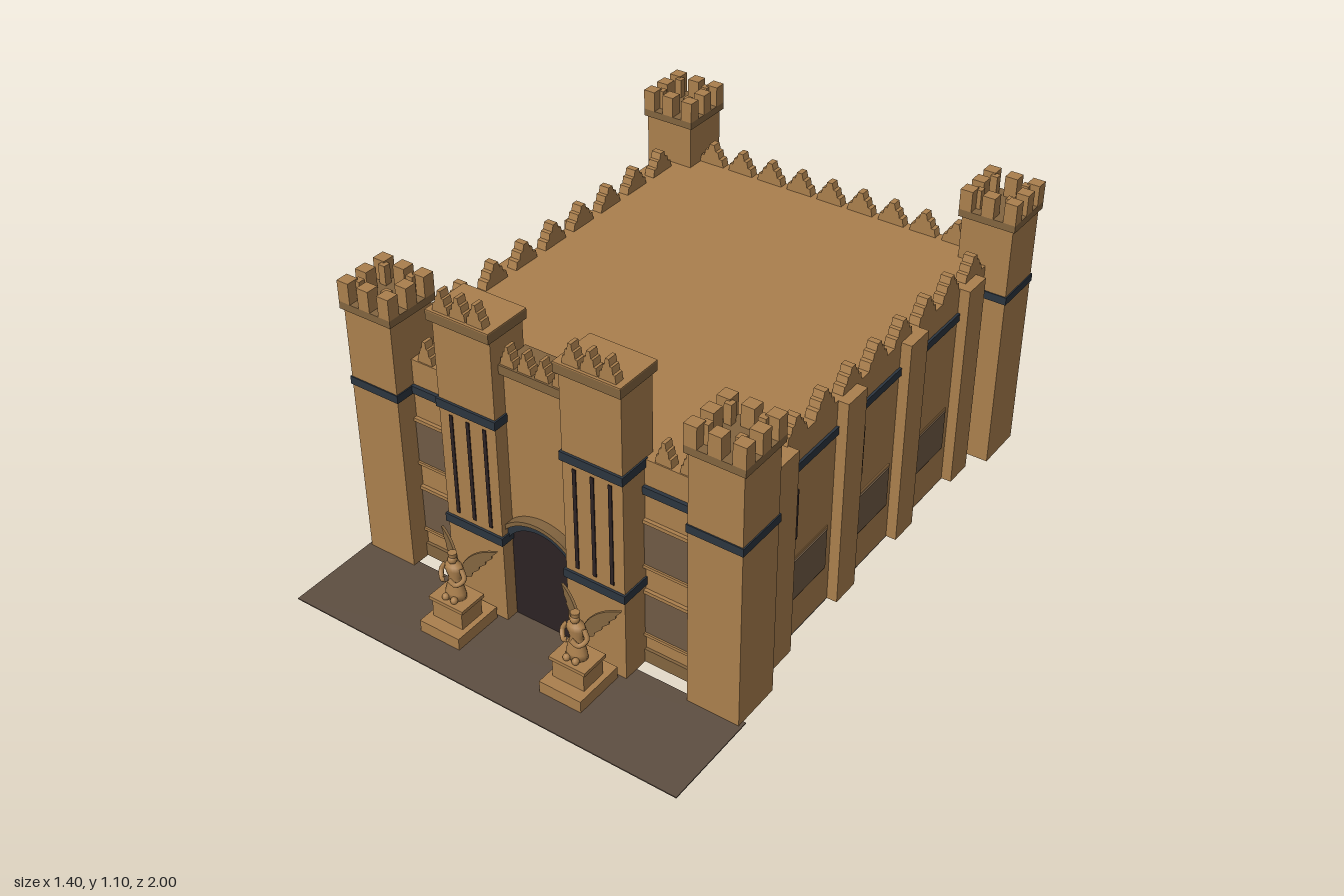
import * as THREE from 'three';

const mat = (name, color, side = THREE.FrontSide) => {
  const m = new THREE.MeshStandardMaterial({ color, side });
  m.name = name;
  return m;
};

export function createModel() {
  const root = new THREE.Group();
  const stone = mat('sandstone', 0xaa7f4d);
  const trim = mat('dark sandstone', 0x82643f);
  const navy = mat('navy band', 0x2c353f);
  const dark = mat('dark opening', 0x2c2223);
  const relief = mat('carved relief', 0x6f5a44);
  const paving = mat('paving', 0x5e4e41, THREE.DoubleSide);

  const add = (parent, name, geo, material) => {
    const m = new THREE.Mesh(geo, material);
    m.name = name;
    parent.add(m);
    return m;
  };
  // Box given by its limits on each axis
  const box = (parent, name, material, x0, x1, y0, y1, z0, z1) => {
    const m = add(parent, name, new THREE.BoxGeometry(x1 - x0, y1 - y0, z1 - z0), material);
    m.position.set((x0 + x1) / 2, (y0 + y1) / 2, (z0 + z1) / 2);
    return m;
  };
  const group = (name, parent = root) => {
    const g = new THREE.Group();
    g.name = name;
    parent.add(g);
    return g;
  };

  // Stepped, pointed battlement, centred on its thickness
  const battlement = (parent, x, y, z, w, h, turn = 0, t = 0.032) => {
    const half = [[0.5, 0], [0.44, 0.36], [0.32, 0.38], [0.27, 0.68], [0.16, 0.7], [0.1, 1]];
    const pts = [...half, ...half.map(([a, b]) => [-a, b]).reverse()];
    const shape = new THREE.Shape(pts.map(([a, b]) => new THREE.Vector2(a * w, b * h)));
    const geo = new THREE.ExtrudeGeometry(shape, { depth: t, bevelEnabled: false });
    geo.translate(0, 0, -t / 2);
    const m = add(parent, 'battlement', geo, stone);
    m.position.set(x, y, z);
    m.rotation.y = turn;
  };

  // Grounds
  box(root, 'forecourt', paving, -0.7, 0.7, 0, 0.004, 0.66, 1);
  box(root, 'hallFloor', paving, -0.61, 0.61, 0, 0.006, -0.91, 0.61);

  // Hall: hollow, with an arched opening in the back wall
  const hall = group('hall');
  box(hall, 'roof', stone, -0.61, 0.61, 0.7, 0.735, -0.91, 0.61);
  box(hall, 'frontWall', stone, -0.61, 0.61, 0.002, 0.7, 0.56, 0.61);
  for (const s of [-1, 1]) {
    const a = s * 0.57, b = s * 0.61;
    box(hall, 'sideWall', stone, Math.min(a, b), Math.max(a, b), 0.002, 0.7, -0.87, 0.56);
  }
  const back = new THREE.Shape();
  back.moveTo(-0.61, 0.002);
  back.lineTo(-0.15, 0.002);
  back.lineTo(-0.15, 0.22);
  back.lineTo(-0.135, 0.22);
  back.absarc(0, 0.22, 0.135, Math.PI, 0, true);
  back.lineTo(0.15, 0.22);
  back.lineTo(0.15, 0.002);
  back.lineTo(0.61, 0.002);
  back.lineTo(0.61, 0.7);
  back.lineTo(-0.61, 0.7);
  add(hall, 'backWall', new THREE.ExtrudeGeometry(back, { depth: 0.04, bevelEnabled: false, curveSegments: 20 }), stone)
    .position.z = -0.91;
  box(hall, 'backLintel', stone, -0.21, 0.21, 0.212, 0.23, -0.935, -0.89);

  // Battlements along the sides and back
  for (const s of [-1, 1])
    for (let i = 0; i < 9; i++) battlement(hall, s * 0.592, 0.735, 0.44 - i * 0.147, 0.105, 0.075, Math.PI / 2, 0.036);
  for (let i = -4; i <= 4; i++) battlement(hall, i * 0.117, 0.735, -0.893, 0.095, 0.075);

  // Long sides: pilasters, bands, slit windows and carved panels
  const sideZ = [0.39, 0.025, -0.335, -0.7];
  for (const s of [-1, 1]) {
    const side = group(s > 0 ? 'leftSide' : 'rightSide');
    const sbox = (name, m, a, b, y0, y1, z0, z1) =>
      box(side, name, m, Math.min(s * a, s * b), Math.max(s * a, s * b), y0, y1, z0, z1);
    sbox('sideBand', navy, 0.608, 0.618, 0.62, 0.648, -0.82, 0.52);
    sideZ.forEach((z, i) => {
      sbox('pilaster', stone, 0.6, 0.645, 0.002, 0.735, z - 0.052, z + 0.052);
      sbox('slitWindow', dark, 0.608, 0.614, 0.37, 0.548, z - 0.113, z - 0.089);
      if (i < 3) {
        sbox('panelFrame', stone, 0.608, 0.613, 0.142, 0.303, z - 0.287, z - 0.063);
        sbox('carvedPanel', relief, 0.608, 0.617, 0.15, 0.295, z - 0.28, z - 0.07);
      }
    });
  }

  // Corner towers with crowns
  const tower = (cx, cz) => {
    const t = group('cornerTower');
    t.position.set(cx, 0, cz);
    const sq = (name, m, r, y0, y1) => box(t, name, m, -r, r, y0, y1, -r, r);
    sq('towerShaft', stone, 0.088, 0.002, 0.885);
    sq('towerBand', navy, 0.092, 0.62, 0.647);
    sq('towerSlab', trim, 0.097, 0.885, 0.91);
    for (const i of [-1, 0, 1]) for (const j of [-1, 0, 1]) {
      if (!i && !j) continue;
      const x = i * 0.076, z = j * 0.076;
      box(t, 'merlon', stone, x - 0.021, x + 0.021, 0.91, 0.98, z - 0.021, z + 0.021);
      if (i && j) {
        const u = i * 0.053, v = j * 0.053;
        box(t, 'innerMerlon', stone, u - 0.012, u + 0.012, 0.91, 0.975, v - 0.012, v + 0.012);
      }
    }
  };
  for (const s of [-1, 1]) for (const z of [0.594, -0.903]) tower(s * 0.602, z);

  // Gatehouse: lower centre with arched door
  const gate = group('gatehouse');
  box(gate, 'gateCentre', stone, -0.12, 0.12, 0.002, 0.88, 0.57, 0.662);
  box(gate, 'gateSlab', trim, -0.12, 0.12, 0.88, 0.91, 0.56, 0.682);
  for (const x of [-0.09, -0.03, 0.03, 0.09]) battlement(gate, x, 0.91, 0.66, 0.048, 0.065);

  const arcY = 0.232, arcA = 1.02;
  const ring = (name, m, r0, r1, depth) => {
    const a0 = Math.PI / 2 - arcA, a1 = Math.PI / 2 + arcA;
    const sh = new THREE.Shape();
    sh.absarc(0, 0, r1, a0, a1, false);
    sh.absarc(0, 0, r0, a1, a0, true);
    add(gate, name, new THREE.ExtrudeGeometry(sh, { depth, bevelEnabled: false, curveSegments: 24 }), m)
      .position.set(0, arcY, 0.655);
  };
  ring('archBand', navy, 0.137, 0.16, 0.03);
  ring('archMoulding', trim, 0.16, 0.173, 0.04);
  const doorShape = new THREE.Shape();
  doorShape.moveTo(-0.118, 0.004);
  doorShape.lineTo(0.118, 0.004);
  doorShape.absarc(0, arcY, 0.14, Math.acos(0.118 / 0.14), Math.PI - Math.acos(0.118 / 0.14), false);
  add(gate, 'door', new THREE.ExtrudeGeometry(doorShape, { depth: 0.006, bevelEnabled: false, curveSegments: 24 }), dark)
    .position.z = 0.66;

  // Gate pylons, front walls and winged statues, mirrored
  const wingShape = new THREE.Shape();
  wingShape.moveTo(0.008, 0.1);
  wingShape.quadraticCurveTo(0.035, 0.165, 0.115, 0.168);
  for (const [x, y] of [[0.098, 0.15], [0.1, 0.143], [0.08, 0.128], [0.082, 0.12], [0.062, 0.106], [0.062, 0.097], [0.042, 0.082], [0.04, 0.07], [0.01, 0.06]])
    wingShape.lineTo(x, y);

  const statue = (parent, cx) => {
    const g = group('wingedStatue', parent);
    g.position.set(cx, 0, 0.81);
    box(g, 'statueBase', stone, -0.074, 0.074, 0.004, 0.045, -0.09, 0.085);
    box(g, 'pedestal', stone, -0.056, 0.056, 0.045, 0.108, -0.045, 0.045);
    box(g, 'pedestalCap', stone, -0.064, 0.064, 0.108, 0.12, -0.05, 0.05);
    const fig = group('figure', g);
    fig.position.y = 0.12;
    const profile = [[0, 0], [0.036, 0], [0.034, 0.02], [0.024, 0.055], [0.021, 0.075], [0.031, 0.105], [0.027, 0.12], [0.009, 0.128], [0, 0.13]];
    const robe = add(fig, 'robedBody', new THREE.LatheGeometry(profile.map(p => new THREE.Vector2(...p)), 16), stone);
    robe.scale.z = 0.75;
    const head = add(fig, 'head', new THREE.SphereGeometry(0.015, 12, 8), stone);
    head.position.set(0, 0.14, 0.004);
    const crown = add(fig, 'crown', new THREE.CylinderGeometry(0.014, 0.012, 0.016, 12), stone);
    crown.position.set(0, 0.156, 0.002);
    for (const s of [-1, 1]) {
      const path = new THREE.CatmullRomCurve3([
        [0.028, 0.113, 0], [0.043, 0.085, 0.008], [0.026, 0.068, 0.026], [0.004, 0.082, 0.03],
      ].map(([x, y, z]) => new THREE.Vector3(s * x, y, z)));
      add(fig, 'arm', new THREE.TubeGeometry(path, 12, 0.008, 8), stone);
      const foot = add(fig, 'foot', new THREE.SphereGeometry(0.012, 10, 6), stone);
      foot.position.set(s * 0.016, 0.006, 0.028);
      const wing = group('wing', fig);
      wing.position.z = -0.012;
      wing.rotation.set(-0.1, s > 0 ? 0.42 : Math.PI - 0.42, 0);
      const geo = new THREE.ExtrudeGeometry(wingShape, { depth: 0.008, bevelEnabled: false });
      geo.translate(0, 0, -0.004);
      add(wing, 'wingFeathers', geo, trim);
    }
  };

  for (const s of [-1, 1]) {
    const g = group(s > 0 ? 'leftFront' : 'rightFront');
    const mbox = (name, m, a, b, y0, y1, z0, z1) =>
      box(g, name, m, Math.min(s * a, s * b), Math.max(s * a, s * b), y0, y1, z0, z1);
    mbox('pylon', stone, 0.117, 0.322, 0.002, 1.0, 0.57, 0.71);
    mbox('pylonSlab', trim, 0.109, 0.332, 1.0, 1.03, 0.56, 0.725);
    mbox('pylonSlabTop', stone, 0.109, 0.332, 1.03, 1.034, 0.56, 0.725);
    mbox('upperPylonBand', navy, 0.112, 0.327, 0.708, 0.737, 0.6, 0.718);
    mbox('lowerPylonBand', navy, 0.112, 0.327, 0.293, 0.322, 0.6, 0.718);
    for (const x of [0.158, 0.219, 0.28]) {
      mbox('pylonSlit', dark, x - 0.006, x + 0.006, 0.34, 0.69, 0.706, 0.713);
      battlement(g, s * (x + 0.004), 1.034, 0.7, 0.056, 0.07);
    }
    // Front wall with two carved panels
    mbox('wallBand', navy, 0.32, 0.52, 0.622, 0.648, 0.605, 0.622);
    mbox('wallFoot', trim, 0.32, 0.52, 0.004, 0.052, 0.605, 0.62);
    for (const y of [0.115, 0.37]) {
      mbox('frontPanel', relief, 0.32, 0.52, y, y + 0.15, 0.607, 0.616);
      mbox('panelLedge', stone, 0.32, 0.52, y + 0.15, y + 0.162, 0.605, 0.622);
      mbox('panelSill', stone, 0.32, 0.52, y - 0.01, y, 0.605, 0.622);
    }
    for (const x of [0.382, 0.464]) battlement(g, s * x, 0.735, 0.59, 0.055, 0.075);
    statue(g, s * 0.224);
  }

  return root;
}
